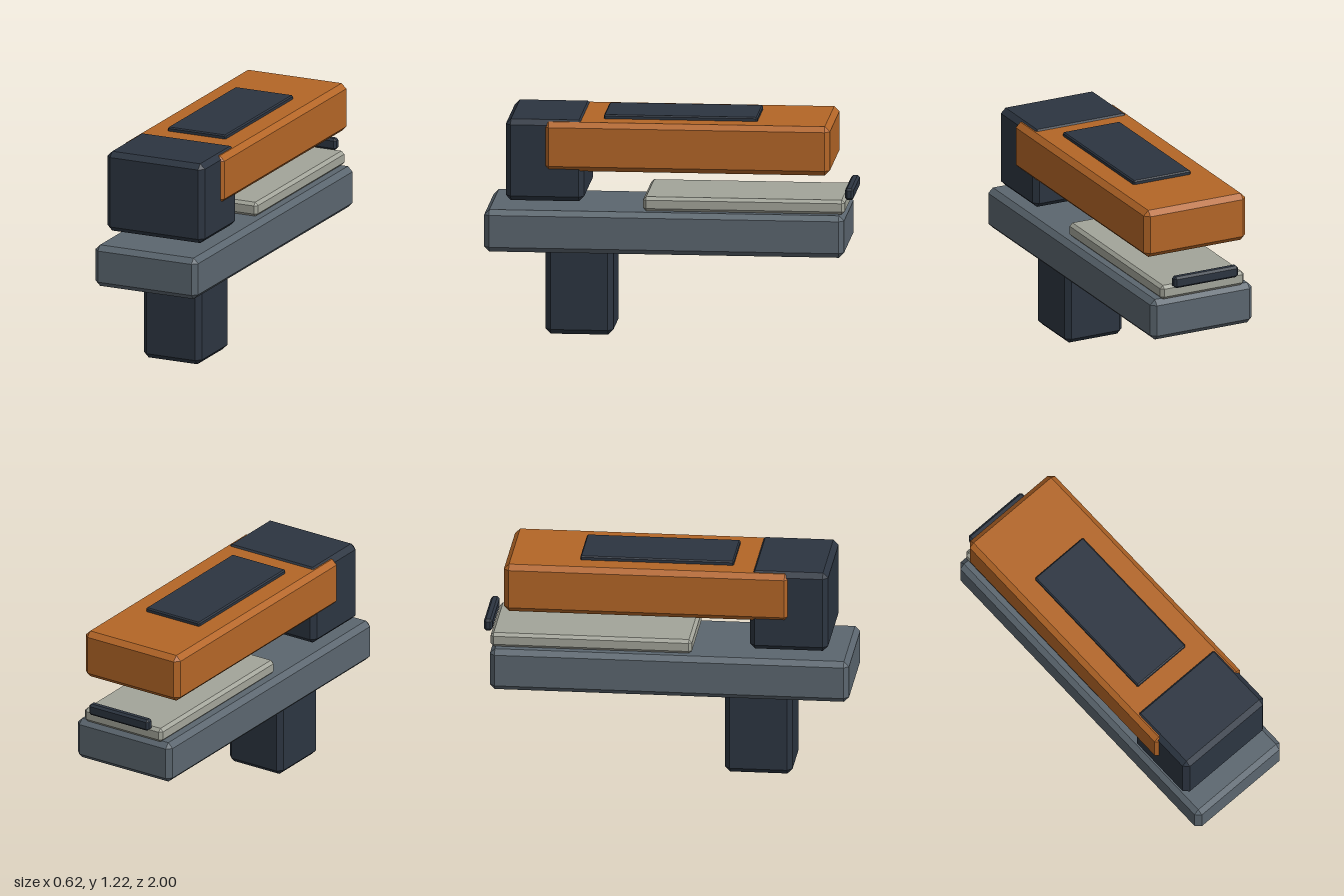
import * as THREE from 'three';
import { ConvexGeometry } from 'three/addons/geometries/ConvexGeometry.js';

const paint = (color) => new THREE.MeshStandardMaterial({ color });
const DARK = paint(0x2c3541);
const ORANGE = paint(0xb46627);
const SLATE = paint(0x5b666f);
const PALE = paint(0xa3a59a);

// Box with every edge cut by a flat chamfer: three inset points at each corner.
// halfX is half the width; y and z are [min, max].
function chamferBox(name, material, halfX, y, z, bevel) {
  const half = [halfX, (y[1] - y[0]) / 2, (z[1] - z[0]) / 2];
  const points = [];
  for (const sx of [-1, 1]) for (const sy of [-1, 1]) for (const sz of [-1, 1]) {
    for (let axis = 0; axis < 3; axis++) {
      const p = half.map((h, i) => (i === axis ? h : h - bevel));
      points.push(new THREE.Vector3(sx * p[0], sy * p[1], sz * p[2]));
    }
  }
  const mesh = new THREE.Mesh(new ConvexGeometry(points), material);
  mesh.name = name;
  mesh.position.set(0, (y[0] + y[1]) / 2, (z[0] + z[1]) / 2);
  return mesh;
}

export function createModel() {
  const model = new THREE.Group();
  model.name = 'model';

  model.add(
    // Lower body: grip post under the long base
    chamferBox('gripPost', DARK, 0.175, [0, 0.52], [0.31, 0.678], 0.028),
    chamferBox('base', SLATE, 0.31, [0.475, 0.707], [-0.957, 1], 0.028),
    // Pale tray on the base with a small catch at the back
    chamferBox('tray', PALE, 0.255, [0.705, 0.785], [-0.957, 0.14], 0.017),
    chamferBox('rearCatch', DARK, 0.195, [0.775, 0.84], [-1, -0.953], 0.012),
    // Upper body: long arm, front head and top pad
    chamferBox('upperArm', ORANGE, 0.31, [0.928, 1.198], [-0.88, 0.677], 0.028),
    chamferBox('frontHead', DARK, 0.293, [0.758, 1.207], [0.458, 0.884], 0.028),
    chamferBox('topPad', DARK, 0.175, [1.185, 1.22], [-0.476, 0.36], 0.007),
  );
  return model;
}
